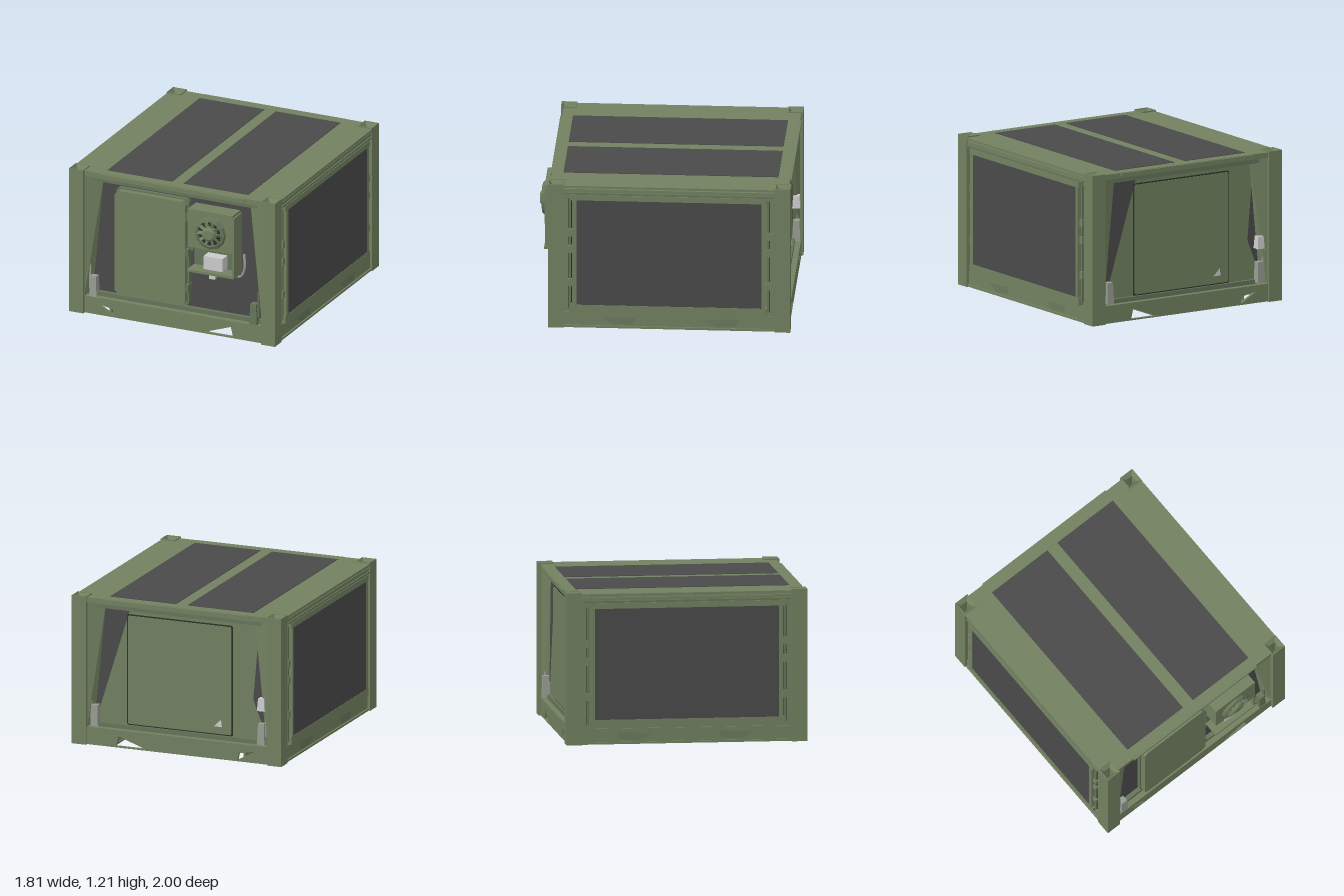
import * as THREE from 'three';

const mat = (color) => new THREE.MeshStandardMaterial({ color, flatShading: true, side: THREE.DoubleSide });

export function createModel() {
  const root = new THREE.Group();
  const green = mat(0x728160), dark = mat(0x4a4a4a), grey = mat(0xcccccc), olive = mat(0x66755a);
  const black = mat(0x2c3328), lining = mat(0xb8c0c0), dullGrey = mat(0x969c92);

  const add = (name, geo, material, parent = root) => {
    const m = new THREE.Mesh(geo, material);
    m.name = name;
    parent.add(m);
    return m;
  };
  // Box given by its limits on each axis
  const box = (name, x0, x1, y0, y1, z0, z1, material = green, parent = root) => {
    const m = add(name, new THREE.BoxGeometry(x1 - x0, y1 - y0, z1 - z0), material, parent);
    m.position.set((x0 + x1) / 2, (y0 + y1) / 2, (z0 + z1) / 2);
    return m;
  };
  // Flat sheet through three or four corners
  const sheet = (name, pts, material) => {
    const g = new THREE.BufferGeometry();
    g.setAttribute('position', new THREE.Float32BufferAttribute(pts.flat(), 3));
    g.setIndex(pts.length === 4 ? [0, 1, 2, 0, 2, 3] : [0, 1, 2]);
    g.computeVertexNormals();
    return add(name, g, material);
  };
  const polygon = (pts) => pts.map(([x, y]) => new THREE.Vector2(x, y));
  const tube = (name, pts, r, material) => add(name, new THREE.TubeGeometry(
    new THREE.CatmullRomCurve3(pts.map((p) => new THREE.Vector3(...p))), 10, r, 6), material);

  // Hollow corner posts with funnel-shaped corner fittings
  const square = (h) => polygon([[-h, -h], [h, -h], [h, h], [-h, h]]);
  const ring = new THREE.Shape(square(0.061));
  ring.holes.push(new THREE.Path(square(0.054)));
  const postGeo = new THREE.ExtrudeGeometry(ring, { depth: 1.207, bevelEnabled: false }).rotateX(-Math.PI / 2);
  const funnelGeo = new THREE.LatheGeometry(polygon([[0.04, -0.04], [0.08, 0]]), 4).rotateY(Math.PI / 4);
  for (const x of [-0.832, 0.832]) for (const z of [-0.938, 0.845]) {
    const post = new THREE.Group();
    post.name = 'cornerPost';
    post.position.set(x, 0, z);
    add('postTube', postGeo, green, post);
    add('fittingFunnel', funnelGeo, green, post).position.y = 1.207;
    root.add(post);
  }

  // Roof with two dark walkway strips and edge rails
  box('roof', -0.875, 0.875, 1.175, 1.197, -0.877, 0.784);
  for (const [z0, z1] of [[-0.96, -0.877], [0.784, 0.86]]) box('roofEnd', -0.772, 0.772, 1.175, 1.197, z0, z1);
  for (const s of [-1, 1]) {
    const c = s * 0.33;
    box('roofStrip', c - 0.28, c + 0.28, 1.197, 1.201, -0.89, 0.8, dark);
    const rail = (n, x0, x1, y0, y1, z0, z1, m) =>
      box(n, Math.min(s * x0, s * x1), Math.max(s * x0, s * x1), y0, y1, z0, z1, m);
    rail('roofSideEdge', 0.875, 0.892, 1.178, 1.197, -0.88, 0.785);
    rail('topSideRail', 0.82, 0.885, 1.14, 1.168, -0.88, 0.785);
    rail('topSideLip', 0.85, 0.897, 1.125, 1.14, -0.86, 0.775, olive);

    // Side wall, framed dark panel and inner lining
    rail('sideWall', 0.835, 0.86, 0.1, 1.175, -0.88, 0.785);
    rail('sideLining', 0.825, 0.834, 0.1, 1.175, -0.88, 0.785, lining);
    for (const [y0, y1] of [[0.135, 0.2], [1.08, 1.125]]) rail('panelFrameRail', 0.86, 0.903, y0, y1, -0.815, 0.73);
    for (const [z0, z1] of [[0.68, 0.715], [-0.8, -0.775]]) rail('panelFrameStile', 0.86, 0.903, 0.2, 1.08, z0, z1);
    rail('sidePanel', 0.86, 0.9, 0.2, 1.08, -0.775, 0.68, dark);
    for (const z of [0.732, -0.825]) {
      rail('frameSlot', 0.86, 0.863, 0.16, 1.08, z - 0.012, z + 0.012, black);
      rail('hingeRod', 0.865, 0.88, 0.16, 1.1, z - 0.008, z + 0.008, olive);
      for (const y of [0.38, 0.66, 0.8]) rail('hingeBlock', 0.86, 0.89, y - 0.03, y + 0.03, z - 0.018, z + 0.018);
    }

    // Lower side beam, with slanting plates where forks enter
    rail('bottomSideRail', 0.81, 0.872, 0.02, 0.125, -0.88, 0.785);
    rail('bottomSideFlange', 0.79, 0.885, 0.003, 0.02, -0.88, 0.785);
    for (const z of [0.35, -0.45]) {
      sheet('forkPlate', [[s * 0.875, 0.095, z - 0.14], [s * 0.875, 0.085, z + 0.14],
        [s * 0.882, 0.03, z + 0.03], [s * 0.88, 0.04, z - 0.12]], olive);
    }

    // Long floor beams on both sides of the fork pockets
    for (const x of [0.27, 0.56]) {
      rail('floorBeam', x - 0.008, x + 0.008, 0.02, 0.11, -0.95, 0.85);
      rail('floorBeamFoot', x - 0.025, x + 0.025, 0.01, 0.022, -0.95, 0.85, olive);
    }

    // Slanting gussets between the posts and the recessed end walls
    for (const [zp, zw] of [[0.88, 0.812], [-0.975, -0.92]]) {
      sheet('postGusset', [[s * 0.772, 0.14, zp], [s * 0.772, 1.15, zp], [s * 0.635, 1.15, zw], [s * 0.73, 0.18, zw]], green);
    }
  }

  // Bottom beams of both ends, cut by fork openings
  const beam = new THREE.Shape(polygon([[-0.772, 0.003], [0.772, 0.003], [0.772, 0.13], [-0.772, 0.13]]));
  beam.holes.push(new THREE.Path(polygon([[0.27, 0.014], [0.52, 0.014], [0.5, 0.095]])));
  beam.holes.push(new THREE.Path(polygon([[-0.66, 0.096], [-0.525, 0.07], [-0.515, 0.014]])));
  const beamGeo = new THREE.ExtrudeGeometry(beam, { depth: 0.025, bevelEnabled: false });
  for (const [z, out] of [[0.86, 1], [-0.985, -1]]) {
    add('endBottomBeam', beamGeo, green).position.z = z;
    const a = out > 0 ? 0.8 : -0.985, b = out > 0 ? 0.885 : -0.9;
    box('endSill', -0.772, 0.772, 0.125, 0.145, a, b);
    box('endSillStep', -0.76, 0.76, 0.145, 0.18, out > 0 ? 0.8 : -0.94, out > 0 ? 0.84 : -0.9, olive);
    box('endTopRail', -0.772, 0.772, 1.155, 1.198, a, b);
    box('endTopLip', -0.72, 0.72, 1.115, 1.15, out > 0 ? 0.8 : -0.95, out > 0 ? 0.85 : -0.9, olive);
    box('topEdgeBar', -0.62, 0.62, 1.175, 1.195, out > 0 ? 0.885 : -0.995, out > 0 ? 0.9 : -0.98);
  }

  // End walls
  box('frontWall', -0.83, 0.83, 0.12, 1.175, 0.765, 0.784, dark);
  box('frontWallFace', -0.772, 0.772, 0.12, 1.165, 0.784, 0.805, dark);
  box('backWall', -0.83, 0.83, 0.12, 1.175, -0.877, -0.86);
  box('backWallFace', -0.772, 0.772, 0.12, 1.165, -0.915, -0.877);
  sheet('backWallDarkCorner', [[0.76, 1.12, -0.918], [0.43, 1.12, -0.918], [0.71, 0.22, -0.918], [0.76, 0.22, -0.918]], dark);
  sheet('backWallDarkCorner', [[-0.66, 0.95, -0.918], [-0.62, 0.5, -0.918], [-0.74, 0.2, -0.918]], dark);

  // Doors with softened corners
  const door = (name, x0, x1, y0, y1, z, depth, r, m) => {
    const sh = new THREE.Shape(polygon([[x0 + r, y0], [x1 - r, y0], [x1, y0 + r], [x1, y1 - r],
      [x1 - r, y1], [x0 + r, y1], [x0, y1 - r], [x0, y0 + r]]));
    add(name, new THREE.ExtrudeGeometry(sh, { depth, bevelEnabled: false }), m).position.z = z;
  };
  door('frontDoorFrame', -0.515, 0.118, 0.195, 1.09, 0.78, 0.06, 0.02, olive);
  door('frontDoor', -0.505, 0.105, 0.21, 1.08, 0.84, 0.05, 0.03, green);
  for (const y of [0.35, 0.65, 0.95]) box('doorHinge', 0.1, 0.125, y - 0.03, y + 0.03, 0.805, 0.88, olive);
  door('backDoorSeal', -0.445, 0.455, 0.18, 1.08, -0.921, 0.006, 0.01, black);
  door('backDoor', -0.435, 0.445, 0.19, 1.07, -0.927, 0.02, 0.01, green);
  sheet('backDoorHandle', [[-0.36, 0.25, -0.932], [-0.29, 0.25, -0.932], [-0.35, 0.31, -0.932]], grey);

  // Cooling unit: fan housing above an open shelf
  const unit = new THREE.Group();
  unit.name = 'coolingUnit';
  root.add(unit);
  box('fanHousing', 0.16, 0.545, 0.74, 1.06, 0.8, 0.952, green, unit);
  box('unitBackPlate', 0.16, 0.555, 0.53, 0.74, 0.8, 0.83, olive, unit);
  box('unitSide', 0.54, 0.558, 0.53, 1.04, 0.8, 0.95, green, unit);
  box('unitShelf', 0.155, 0.558, 0.53, 0.55, 0.8, 0.955, green, unit);
  box('unitMotor', 0.28, 0.445, 0.56, 0.67, 0.83, 0.92, grey, unit);

  // Fan with a domed guard
  const fan = new THREE.Group();
  fan.name = 'fan';
  fan.position.set(0.355, 0.885, 0.952);
  unit.add(fan);
  const turn = (pts, n) => new THREE.LatheGeometry(polygon(pts), n).rotateX(Math.PI / 2);
  add('fanGuardRim', turn([[0.135, 0], [0.128, 0.02], [0.105, 0.03], [0.1, 0.012]], 12), olive, fan);
  add('fanDisc', new THREE.CircleGeometry(0.125, 12), black, fan).position.z = 0.003;
  add('fanHub', turn([[0.062, 0.003], [0.058, 0.036], [0.04, 0.047], [0, 0.047]], 10), green, fan);
  for (let i = 0; i < 10; i++) {
    const arm = new THREE.Group();
    arm.name = 'fanBlade';
    arm.rotation.z = i * Math.PI / 5;
    box('blade', 0.05, 0.118, -0.014, 0.014, 0.015, 0.021, green, arm).rotation.x = 0.6;
    fan.add(arm);
  }

  // Hoses and outlet beside the cooling unit
  tube('hose', [[0.5, 0.5, 0.82], [0.57, 0.52, 0.84], [0.6, 0.6, 0.84], [0.585, 0.7, 0.82]], 0.011, dullGrey);
  tube('smallHose', [[0.4, 0.7, 0.85], [0.45, 0.715, 0.87], [0.5, 0.71, 0.85]], 0.006, grey);
  box('wallOutlet', 0.29, 0.34, 0.45, 0.49, 0.8, 0.84, grey);
  box('doorLatch', 0.125, 0.15, 0.66, 0.88, 0.805, 0.835, olive);

  // Support-leg housings beside the posts, narrowed at the top
  for (const [x, z, y, m] of [[-0.7, 0.85, 0.23, dullGrey], [0.69, 0.85, 0.23, olive],
    [0.71, -0.95, 0.24, dullGrey], [-0.71, -0.95, 0.24, dullGrey], [-0.71, -0.95, 0.48, grey]]) {
    const h = y > 0.4 ? 0.05 : 0.085;
    const housing = add('legHousing', new THREE.CylinderGeometry(0.036, 0.045, h * 2, 4).rotateY(Math.PI / 4), m);
    housing.position.set(x, y, z);
    const rod = add('legRod', new THREE.CylinderGeometry(0.01, 0.012, 0.2, 8), m);
    rod.position.set(x + Math.sign(x) * 0.035, y + 0.08, z);
  }
  return root;
}
